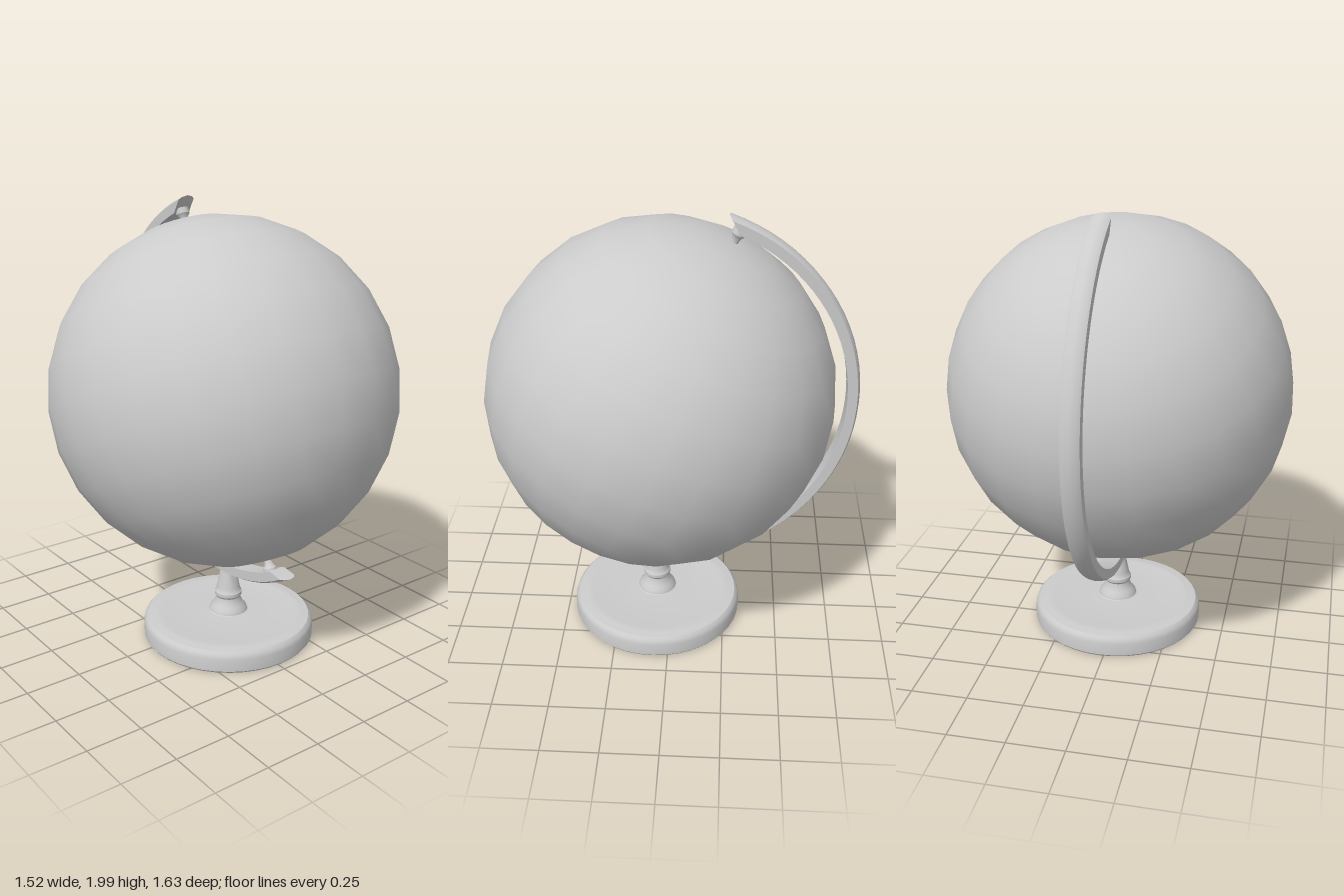
import * as THREE from 'three';
import { toCreasedNormals } from 'three/addons/utils/BufferGeometryUtils.js';

const TILT = THREE.MathUtils.degToRad(23.5);
const CENTER = new THREE.Vector3(0.015, 1.17, 0.05); // pivot of the axis and arm
const material = new THREE.MeshStandardMaterial({ color: 0xcccccc });

function addMesh(parent, name, geometry) {
  const mesh = new THREE.Mesh(geometry, material);
  mesh.name = name;
  parent.add(mesh);
  return mesh;
}

function lathe(profile, segments) {
  const points = profile.map(([r, y]) => new THREE.Vector2(r, y));
  return toCreasedNormals(new THREE.LatheGeometry(points, segments), 0.6);
}

// Arc swept around the x axis: flat inside, rounded outside, slanted pointed ends
function armGeometry() {
  const inner = 0.81, outer = 0.866, half = 0.04, steps = 48;
  // [x, radius], counter-clockwise
  const section = [[-half, inner], [half, inner], [half, 0.853], [0.027, 0.861],
    [0, outer], [-0.027, 0.861], [-half, 0.853]];
  const n = section.length;
  const positions = [], index = [];
  for (let i = 0; i <= steps; i++) {
    for (const [x, r] of section) {
      const t = (r - inner) / (outer - inner);
      const start = 114 - 5 * t, end = 297 + 5 * t;
      const a = THREE.MathUtils.degToRad(start + (end - start) * i / steps);
      positions.push(x, Math.sin(a) * r, Math.cos(a) * r);
    }
  }
  for (let i = 0; i < steps; i++) {
    for (let j = 0; j < n; j++) {
      const a = i * n + j, b = i * n + (j + 1) % n;
      index.push(a, a + n, b, b, a + n, b + n);
    }
  }
  // End caps
  const last = steps * n;
  for (let j = 1; j < n - 1; j++) {
    index.push(0, j, j + 1, last, last + j + 1, last + j);
  }
  const g = new THREE.BufferGeometry();
  g.setAttribute('position', new THREE.Float32BufferAttribute(positions, 3));
  g.setIndex(index);
  return toCreasedNormals(g, 0.6);
}

export function createModel() {
  const model = new THREE.Group();
  model.name = 'deskGlobe';

  // Ball, tilted on its axis
  const ball = addMesh(model, 'ball', new THREE.SphereGeometry(0.766, 24, 13));
  ball.position.set(0, CENTER.y, CENTER.z);
  ball.rotation.x = -TILT;

  // Curved arm behind the ball
  addMesh(model, 'arm', armGeometry()).position.copy(CENTER);

  // Tapered pins joining the arm to both poles
  const axis = new THREE.Group();
  axis.name = 'axisPins';
  axis.position.copy(CENTER);
  axis.rotation.x = -TILT;
  model.add(axis);
  const pinProfile = [[0, 0.745], [0.014, 0.745], [0.016, 0.772], [0.022, 0.79],
    [0.03, 0.8], [0.03, 0.825], [0, 0.825]];
  for (const [name, turn] of [['topPin', 0], ['bottomPin', Math.PI]]) {
    addMesh(axis, name, lathe(pinProfile, 16)).rotation.x = turn;
  }

  // Round foot with a rolled edge and gently rising top
  const foot = addMesh(model, 'foot', lathe([[0, 0], [0.388, 0], [0.394, 0.008], [0.394, 0.065],
    [0.388, 0.085], [0.375, 0.097], [0.345, 0.1], [0.325, 0.103], [0.31, 0.1], [0.09, 0.112], [0, 0.112]], 40));
  foot.position.set(0.015, 0, 0.07);

  // Turned stem
  const stem = addMesh(model, 'stem', lathe([[0.105, 0.1], [0.088, 0.115], [0.085, 0.128], [0.07, 0.145],
    [0.058, 0.17], [0.056, 0.182], [0.063, 0.192], [0.063, 0.207], [0.056, 0.217],
    [0.053, 0.23], [0.038, 0.305], [0.034, 0.33], [0, 0.335]], 24));
  stem.position.set(0.015, 0, 0.07);

  return model;
}
